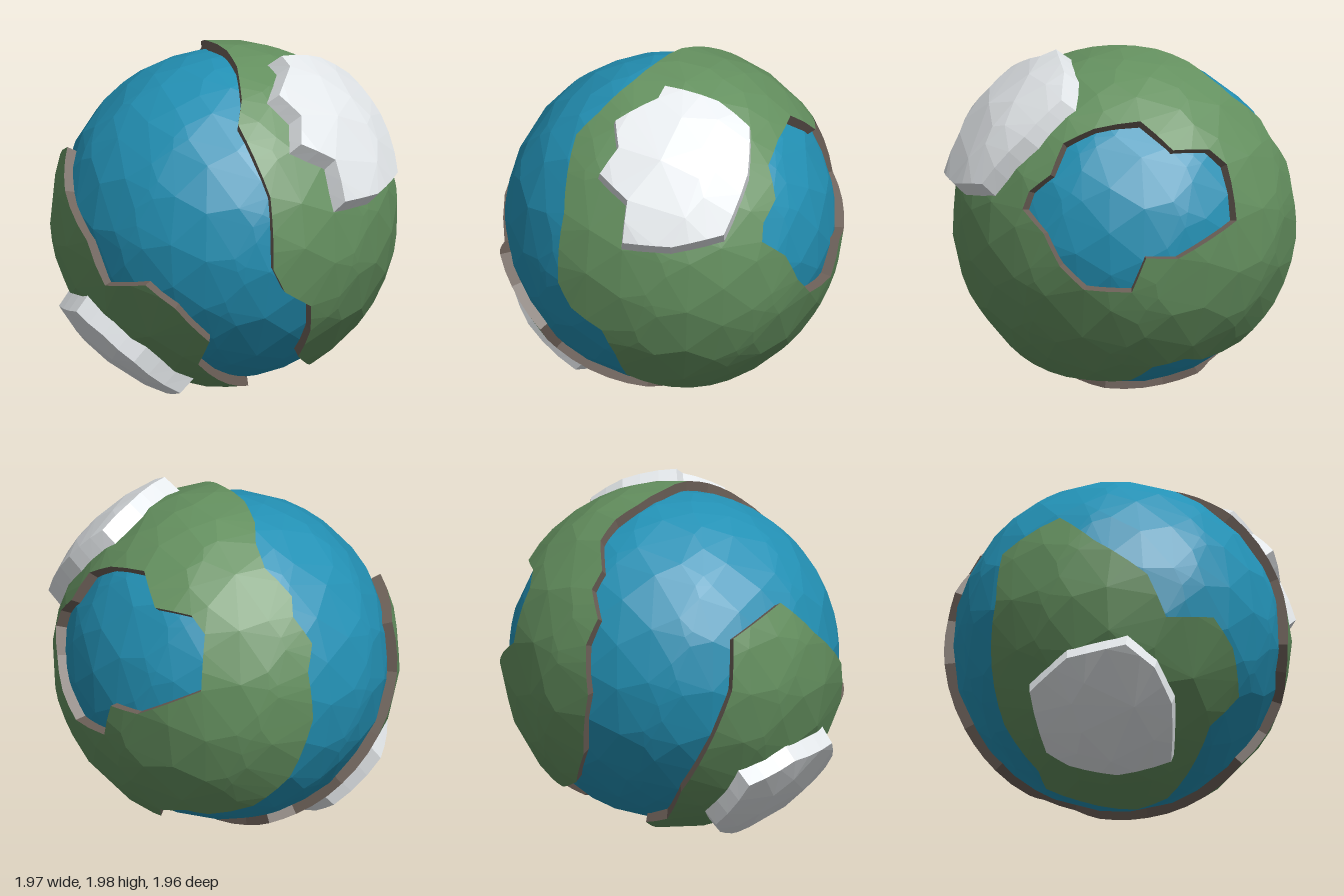
import * as THREE from 'three';
import { ConvexGeometry } from 'three/addons/geometries/ConvexGeometry.js';

const SEA = 0.935, LAND = 0.985, ICE = 1.07, STEP = 0.14;

// Coast outlines as directions from the globe's centre
const mainCoast = [
  [.03, .93, .3], [.02, .8, .55], [-.02, .7, .69], [.13, .33, .91], [.14, -.08, .96], [.21, -.22, .93], [.37, -.33, .84],
  [.38, -.5, .75], [.33, -.68, .62], [.43, -.8, .36], [.49, -.84, 0], [.44, -.83, -.27], [.48, -.73, -.43], [.38, -.69, -.58],
  [.25, -.71, -.62], [.02, -.64, -.74], [-.16, -.44, -.85], [-.28, -.08, -.94], [-.25, .2, -.92], [-.29, .35, -.87],
  [-.19, .5, -.82], [-.2, .6, -.75], [-.07, .74, -.64], [-.05, .83, -.5], [-.08, .9, -.35], [-.07, .96, -.15], [0, .97, .1]];
const lakeShore = [
  [.95, .2, .15], [.925, .3, .12], [.89, .4, 0], [.8, .57, -.03], [.71, .65, -.18], [.57, .69, -.4], [.555, .54, -.6],
  [.38, .53, -.74], [.32, .44, -.82], [.36, .13, -.9], [.68, -.05, -.7], [.8, -.04, -.56], [.82, -.24, -.48],
  [.92, -.23, -.23], [.97, -.1, -.1], [.975, .08, 0]];
const southCoast = [
  [-.9, .42, -.02], [-.93, .22, .2], [-.85, 0, .49], [-.76, -.24, .57], [-.56, -.19, .78], [-.4, -.32, .84], [-.2, -.53, .8],
  [-.24, -.7, .64], [.1, -.94, .26], [.12, -.97, .07], [-.07, -.95, -.2], [-.16, -.89, -.37], [-.32, -.86, -.36],
  [-.56, -.66, -.48], [-.76, -.38, -.47], [-.89, -.04, -.4], [-.87, .25, -.37]];
const northIce = [
  [.21, .92, .23], [.25, .89, .32], [.15, .79, .57], [.27, .68, .65], [.25, .54, .78], [.46, .43, .75], [.5, .19, .82],
  [.72, .18, .63], [.87, .23, .36], [.82, .53, .12], [.65, .73, -.04], [.47, .86, .04]];
const southIce = [
  [-.84, -.35, .37], [-.7, -.46, .5], [-.52, -.62, .54], [-.23, -.85, .43], [-.3, -.92, .12], [-.42, -.87, -.14],
  [-.5, -.8, -.25], [-.78, -.53, -.25], [-.88, -.4, .02]];

const dirs = (list) => list.map((p) => new THREE.Vector3(...p).normalize());

// Evenly scattered, slightly irregular directions
function scatter(count) {
  return Array.from({ length: count }, (_, i) => {
    const y = 1 - (2 * i + 1) / count, a = i * 2.39996 + 0.12 * Math.sin(i * 12.9);
    const r = Math.sqrt(1 - y * y);
    return new THREE.Vector3(r * Math.cos(a), y + 0.05 * Math.sin(i * 7.3), r * Math.sin(a)).normalize();
  });
}

// Splits every outline side into short arcs
function resample(points) {
  return points.flatMap((p, i) => {
    const q = points[(i + 1) % points.length];
    const n = Math.max(1, Math.ceil(p.distanceTo(q) / STEP));
    return Array.from({ length: n }, (_, k) => p.clone().lerp(q, k / n).normalize());
  });
}

// Inside test in a stereographic projection about the given centre
function insideTest(outline, centre) {
  const u = new THREE.Vector3(0.31, 0.87, -0.4).cross(centre).normalize();
  const v = centre.clone().cross(u);
  const flat = (p) => {
    const k = 1 / Math.max(1e-4, 1 + p.dot(centre));
    return [p.dot(u) * k, p.dot(v) * k];
  };
  const poly = outline.map(flat);
  return (p) => {
    const [x, y] = flat(p);
    let inside = false;
    poly.forEach(([ax, ay], i) => {
      const [bx, by] = poly[(i + 1) % poly.length];
      if ((ay > y) !== (by > y) && x < ax + (y - ay) / (by - ay) * (bx - ax)) inside = !inside;
    });
    return inside;
  };
}

function mesh(name, vertices, color) {
  const geometry = new THREE.BufferGeometry().setFromPoints(vertices);
  geometry.computeVertexNormals();
  const result = new THREE.Mesh(geometry, new THREE.MeshStandardMaterial({ color, flatShading: true }));
  result.name = name;
  return result;
}

// Raised patch of the globe: faceted top plus a wall round its rim
function patch(name, list, { hole, centre, top, base, inset = 0, fill, color, wallColor }) {
  const outline = resample(dirs(list));
  const mid = centre ? new THREE.Vector3(...centre).normalize()
    : outline.reduce((s, p) => s.add(p), new THREE.Vector3()).normalize();
  const rim = [...outline];
  const inOuter = insideTest(outline, mid);
  let inHole = () => false;
  if (hole) {
    const shore = resample(dirs(hole));
    rim.push(...shore);
    inHole = insideTest(shore, mid);
  }
  const inner = scatter(fill).filter((p) => rim.every((q) => q.distanceTo(p) > 0.1));
  // A convex hull of points on a sphere is an even triangulation of it
  const hull = new ConvexGeometry([...rim, ...inner]).getAttribute('position');
  const lift = (p) => p.clone().lerp(mid, inset).normalize().multiplyScalar(top);
  const foot = (p) => p.clone().multiplyScalar(base);
  const key = (p) => p.toArray().map((c) => Math.round(c * 1e4)).join();
  const topVerts = [], edges = new Map();
  for (let i = 0; i < hull.count; i += 3) {
    const tri = [0, 1, 2].map((k) => new THREE.Vector3().fromBufferAttribute(hull, i + k));
    const c = tri[0].clone().add(tri[1]).add(tri[2]).normalize();
    if (!inOuter(c) || inHole(c)) continue;
    topVerts.push(...tri.map(lift));
    tri.forEach((a, k) => {
      const b = tri[(k + 1) % 3];
      const back = key(b) + '|' + key(a);
      if (edges.has(back)) edges.delete(back);
      else edges.set(key(a) + '|' + key(b), [a, b]);
    });
  }
  const wallVerts = [];
  for (const [a, b] of edges.values()) {
    wallVerts.push(foot(a), foot(b), lift(b), foot(a), lift(b), lift(a));
  }
  const group = new THREE.Group();
  group.name = name;
  group.add(mesh(name + 'Top', topVerts, color), mesh(name + 'Wall', wallVerts, wallColor));
  return group;
}

export function createModel() {
  const model = new THREE.Group();
  model.name = 'globe';

  // Ocean ball
  const hull = new ConvexGeometry(scatter(380)).getAttribute('position');
  const seaVerts = Array.from({ length: hull.count }, (_, i) =>
    new THREE.Vector3().fromBufferAttribute(hull, i).multiplyScalar(SEA));
  model.add(mesh('ocean', seaVerts, 0x2391b5));

  // Continents with earthen cliffs
  const land = { top: LAND, base: 0.91, fill: 400, color: 0x64905f, wallColor: 0x6b5f57 };
  model.add(patch('mainContinent', mainCoast, { ...land, hole: lakeShore, centre: [1, 0.1, -0.2] }));
  model.add(patch('southContinent', southCoast, land));

  // Ice sheets with sloping sides
  const ice = { top: ICE, base: 0.965, inset: 0.13, fill: 220, color: 0xe2e6e9, wallColor: 0xe2e6e9 };
  model.add(patch('northIceSheet', northIce, ice));
  model.add(patch('southIceSheet', southIce, ice));

  model.children.forEach((part) => { part.position.y = 1.005; });
  // Rest the lowest point on the ground
  const box = new THREE.Box3().setFromObject(model, true);
  model.children.forEach((part) => { part.position.y -= box.min.y; });
  return model;
}
